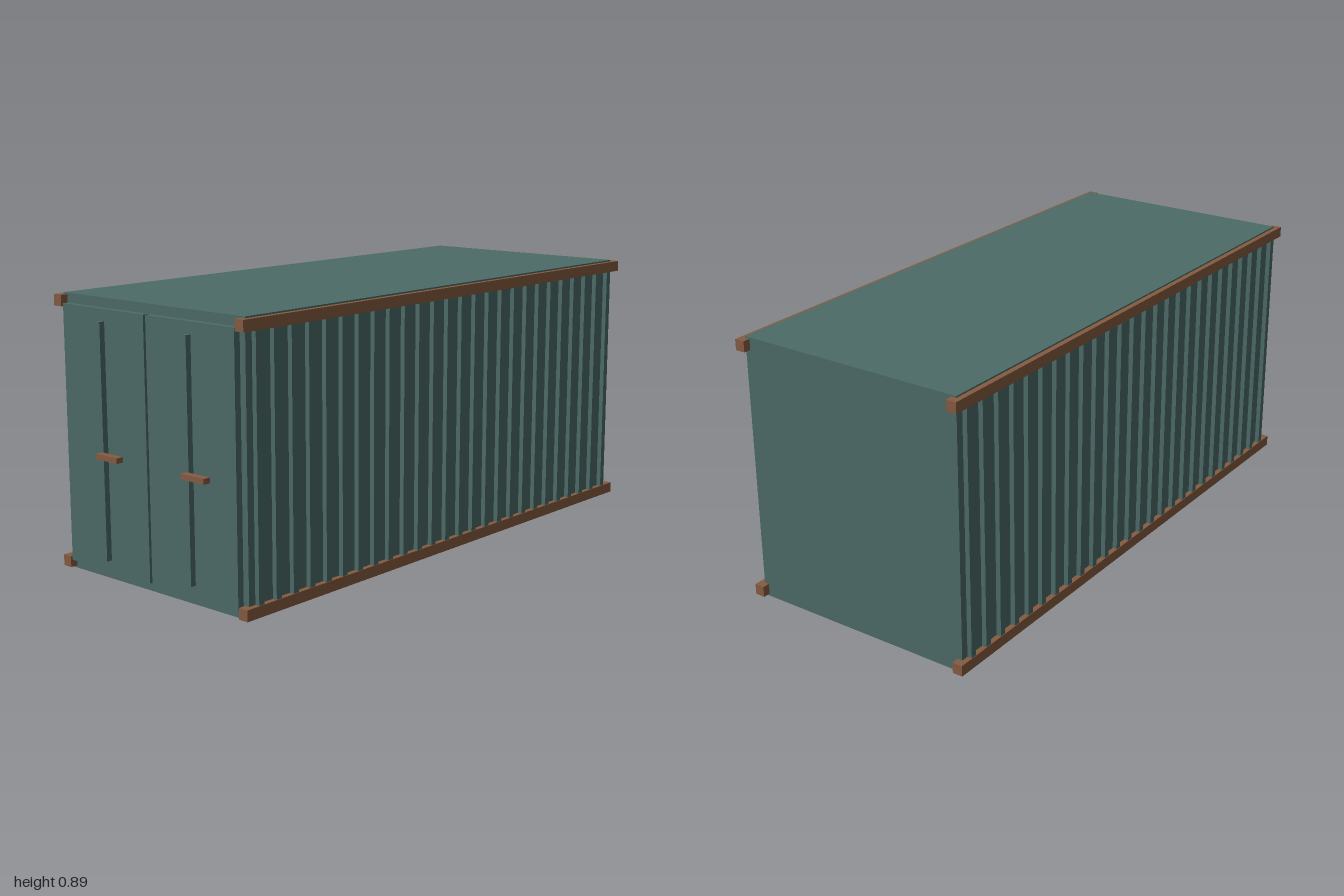
import * as THREE from 'three';

export function createModel() {
  const model = new THREE.Group();
  model.name = 'shippingContainer';

  const teal = new THREE.MeshStandardMaterial({ color: 0x4d6b67 });
  teal.name = 'teal paint';
  const rust = new THREE.MeshStandardMaterial({ color: 0x855b41 });
  rust.name = 'rust brown';

  // Box given by its lower and upper bounds on each axis
  function box(name, material, [x0, x1], [y0, y1], [z0, z1], parent = model) {
    const mesh = new THREE.Mesh(new THREE.BoxGeometry(x1 - x0, y1 - y0, z1 - z0), material);
    mesh.position.set((x0 + x1) / 2, (y0 + y1) / 2, (z0 + z1) / 2);
    mesh.name = name;
    parent.add(mesh);
  }

  const back = -0.975, front = 0.935;
  box('body', teal, [-0.4, 0.4], [0, 0.895], [back, front]);

  // Long edge rails and vertical wall ribs on both sides
  const ribCount = 26, pitch = (front - back) / ribCount, ribWidth = 0.022;
  for (const side of [-1, 1]) {
    const span = (a, b) => (side > 0 ? [a, b] : [-b, -a]);
    const sideName = side > 0 ? 'left' : 'right';
    box(sideName + 'BottomRail', rust, span(0.383, 0.418), [0.007, 0.043], [-1, 0.96]);
    box(sideName + 'TopRail', rust, span(0.383, 0.418), [0.854, 0.89], [-1, 0.96]);

    const ribs = new THREE.Group();
    ribs.name = sideName + 'WallRibs';
    model.add(ribs);
    for (let i = 0; i < ribCount; i++) {
      const z = back + (i + 0.5) * pitch;
      box('rib', teal, span(0.395, 0.416), [0.03, 0.865], [z - ribWidth / 2, z + ribWidth / 2], ribs);
    }

    // Door leaf, lock rod and handle; both handles point towards +x
    const x = side * 0.191;
    box(sideName + 'Door', teal, span(0.005, 0.378), [0.032, 0.864], [0.925, 0.957]);
    box(sideName + 'LockRod', teal, [x - 0.008, x + 0.008], [0.07, 0.826], [0.95, 0.976]);
    box(sideName + 'DoorHandle', rust, [x, x + 0.097], [0.403, 0.42], [0.975, 1]);
  }

  return model;
}
